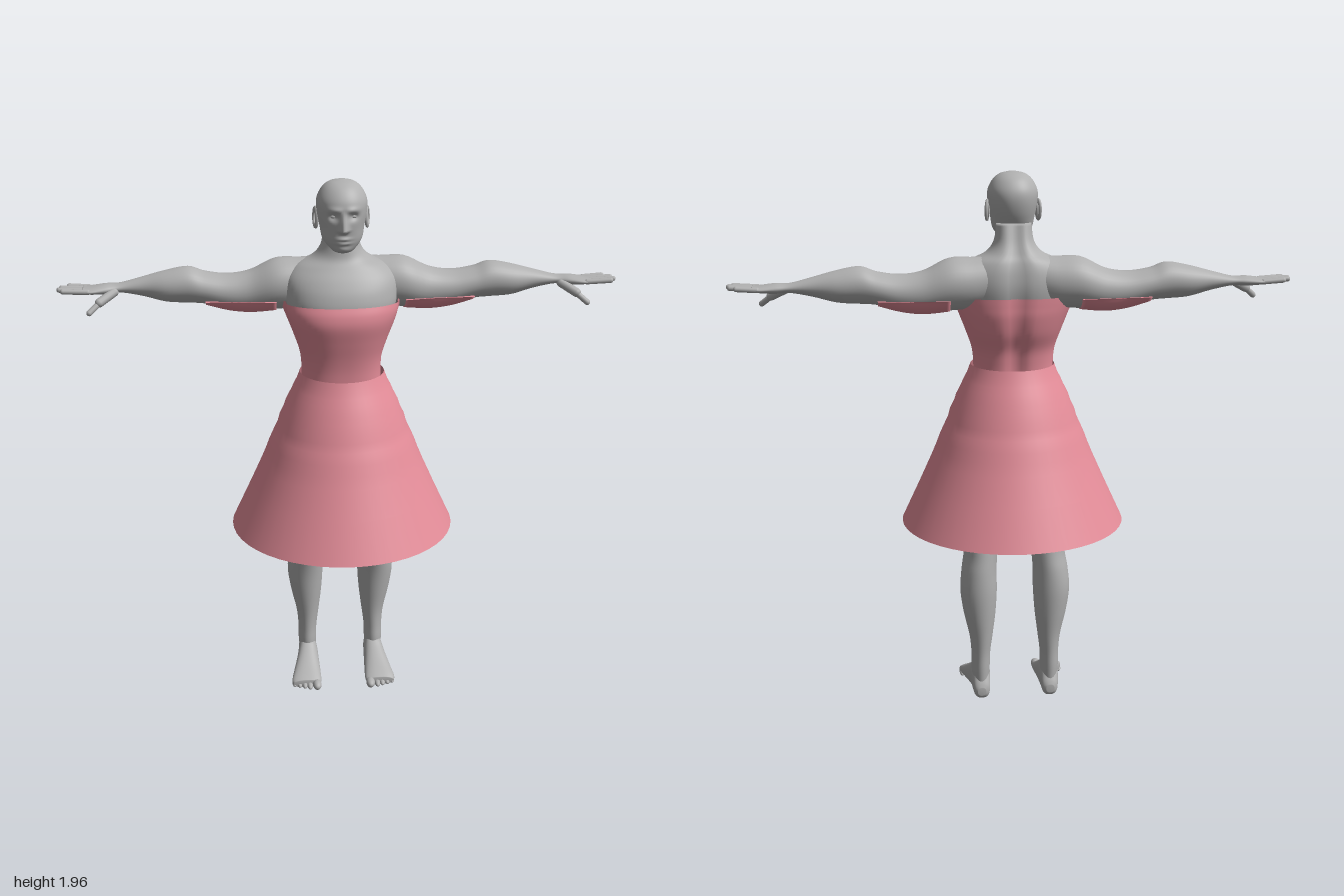
import * as THREE from 'three';

const skin = new THREE.MeshStandardMaterial({ color: 0xb0b0b0 });
skin.name = 'grey skin';
const cloth = new THREE.MeshStandardMaterial({ color: 0xe38c98, side: THREE.DoubleSide });
cloth.name = 'pink cloth';

const bell = (d, w) => Math.exp(-((d / w) ** 2));

// Catmull-Rom blend of neighbouring cross-sections
function section(rings, f) {
  const i = Math.min(Math.floor(f), rings.length - 2), t = f - i;
  const a = rings[Math.max(i - 1, 0)], b = rings[i], c = rings[i + 1], d = rings[Math.min(i + 2, rings.length - 1)];
  return b.map((p, k) => {
    const m0 = (c[k] - a[k]) / 2, m1 = (d[k] - p) / 2, t2 = t * t, t3 = t2 * t;
    return p * (2 * t3 - 3 * t2 + 1) + m0 * (t3 - 2 * t2 + t) + c[k] * (3 * t2 - 2 * t3) + m1 * (t3 - t2);
  });
}

// Skin oval sections [t, u0, u1, v0, v1] along an axis: y uses u=x v=z, x uses u=z v=y, z uses u=y v=x
function loft(axis, rings, { n = 32, steps = 5, power = 2, caps = true, shape } = {}) {
  const pos = [], idx = [], rows = (rings.length - 1) * steps + 1, e = 2 / power;
  const put = (t, u, v) => {
    const p = axis === 'y' ? new THREE.Vector3(u, t, v)
      : axis === 'x' ? new THREE.Vector3(t, v, u) : new THREE.Vector3(v, u, t);
    if (shape) shape(p);
    pos.push(p.x, p.y, p.z);
  };
  const round = c => Math.sign(c) * Math.abs(c) ** e;
  for (let i = 0; i < rows; i++) {
    const [t, u0, u1, v0, v1] = section(rings, i / steps);
    for (let j = 0; j < n; j++) {
      const a = (j / n) * Math.PI * 2;
      put(t, (u0 + u1) / 2 + round(Math.cos(a)) * (u1 - u0) / 2, (v0 + v1) / 2 + round(Math.sin(a)) * (v1 - v0) / 2);
    }
  }
  for (let i = 0; i < rows - 1; i++) for (let j = 0; j < n; j++) {
    const a = i * n + j, b = i * n + (j + 1) % n;
    idx.push(a, a + n, b, b, a + n, b + n);
  }
  if (caps) {
    for (const r of [rings[0], rings[rings.length - 1]]) put(r[0], (r[1] + r[2]) / 2, (r[3] + r[4]) / 2);
    const last = (rows - 1) * n;
    for (let j = 0; j < n; j++) {
      const k = (j + 1) % n;
      idx.push(rows * n, j, k, rows * n + 1, last + k, last + j);
    }
  }
  const g = new THREE.BufferGeometry();
  g.setAttribute('position', new THREE.Float32BufferAttribute(pos, 3));
  g.setIndex(idx);
  g.computeVertexNormals();
  return g;
}

// Rounded rod between two points
function rod(a, b, r) {
  const A = new THREE.Vector3(...a), B = new THREE.Vector3(...b), d = B.clone().sub(A);
  const g = new THREE.CapsuleGeometry(r, d.length(), 6, 12);
  g.applyQuaternion(new THREE.Quaternion().setFromUnitVectors(new THREE.Vector3(0, 1, 0), d.normalize()));
  return g.translate(...A.add(B).multiplyScalar(0.5).toArray());
}

function ball(x, y, z, rx, ry, rz) {
  return new THREE.SphereGeometry(1, 16, 12).scale(rx, ry, rz).translate(x, y, z);
}

function mirrored(g) {
  const m = g.clone().scale(-1, 1, 1), ix = m.index.array;
  for (let i = 0; i < ix.length; i += 3) [ix[i + 1], ix[i + 2]] = [ix[i + 2], ix[i + 1]];
  return m;
}

export function createModel() {
  const model = new THREE.Group();
  const add = (name, g, mat = skin) => {
    const m = new THREE.Mesh(g, mat);
    m.name = name;
    model.add(m);
  };
  const pair = (name, g, mat) => {
    add('left ' + name, g, mat);
    add('right ' + name, mirrored(g), mat);
  };
  const sym = rings => rings.map(([y, w, back, front]) => [y, -w, w, back, front]);

  // Groove down the spine and a fold under each arm
  const spine = p => { if (p.z < -0.08) p.z += 0.018 * bell(p.x, 0.03); };
  const bodiceShape = p => {
    spine(p);
    p.x *= 1 - 0.07 * bell(p.z - 0.01, 0.025);
  };

  // Torso and neck
  add('torso', loft('y', sym([
    [1.0, 0.14, -0.12, 0.09], [1.2, 0.13, -0.11, 0.085], [1.4, 0.15, -0.14, 0.1], [1.5, 0.19, -0.165, 0.115],
    [1.56, 0.2, -0.175, 0.105], [1.61, 0.195, -0.172, 0.08], [1.65, 0.16, -0.162, 0.05],
    [1.68, 0.1, -0.147, 0.03], [1.72, 0.07, -0.13, 0.022], [1.78, 0.062, -0.11, 0.01],
  ]), { n: 48, power: 2.2, shape: spine }));

  // Head with brow, nose, lips, chin and eye sockets
  const face = p => {
    if (p.z < 0.03) return;
    const y = p.y, rise = y > 1.795 ? Math.max(0, (1.862 - y) / 0.067) : Math.max(0, 1 - (1.795 - y) / 0.014);
    p.z += 0.03 * rise * bell(p.x, 0.008 + 0.007 * rise);
    p.z += 0.006 * bell(y - 1.865, 0.01) * bell(Math.abs(p.x) - 0.03, 0.025);
    p.z -= 0.013 * bell(y - 1.842, 0.013) * bell(Math.abs(p.x) - 0.034, 0.017);
    p.z += 0.008 * bell(p.x, 0.025) * (bell(y - 1.765, 0.006) + bell(y - 1.75, 0.006));
    p.z += 0.006 * bell(p.x, 0.025) * bell(y - 1.727, 0.012);
  };
  add('head', loft('y', sym([
    [1.712, 0.02, 0.015, 0.06], [1.722, 0.04, -0.01, 0.074], [1.755, 0.068, -0.065, 0.085], [1.8, 0.078, -0.095, 0.092],
    [1.85, 0.087, -0.11, 0.097], [1.89, 0.087, -0.108, 0.092], [1.925, 0.07, -0.088, 0.07],
    [1.946, 0.045, -0.058, 0.04], [1.955, 0.01, -0.02, 0.0],
  ]), { n: 96, steps: 10, power: 2.15, shape: face }));
  pair('eye', ball(0.034, 1.842, 0.07, 0.013, 0.008, 0.011));
  pair('ear', new THREE.TorusGeometry(0.017, 0.006, 8, 20).scale(1, 1.75, 1)
    .rotateY(Math.PI / 2 - 0.3).rotateX(-0.15).translate(0.09, 1.822, -0.02));
  pair('ear bowl', ball(0.086, 1.822, -0.018, 0.006, 0.028, 0.016));

  // Arms, rings run from inside the chest to the knuckles
  const arm = [
    [0.06, -0.15, -0.02, 1.52, 1.672], [0.14, -0.168, 0.0, 1.49, 1.667], [0.23, -0.177, 0.008, 1.482, 1.665],
    [0.32, -0.167, -0.01, 1.475, 1.624], [0.4, -0.16, -0.015, 1.484, 1.612], [0.48, -0.156, -0.017, 1.506, 1.622],
    [0.54, -0.152, -0.018, 1.511, 1.641], [0.62, -0.145, -0.024, 1.517, 1.628], [0.7, -0.128, -0.045, 1.538, 1.607],
    [0.78, -0.115, -0.055, 1.553, 1.587], [0.83, -0.118, -0.04, 1.55, 1.586], [0.88, -0.121, -0.027, 1.553, 1.579],
    [0.91, -0.117, -0.03, 1.558, 1.577],
  ];
  pair('arm', loft('x', arm));
  [[-0.11, 0.96], [-0.085, 0.984], [-0.06, 0.99], [-0.037, 0.975]].forEach(([z, tip], i) =>
    pair('finger ' + (i + 1), rod([0.89, 1.567, z], [tip, 1.572, z * 1.08 + 0.008], 0.0098)));
  pair('thumb base', rod([0.8, 1.56, -0.06], [0.85, 1.532, -0.022], 0.016));
  pair('thumb', rod([0.845, 1.535, -0.025], [0.885, 1.502, 0.002], 0.0105));

  // Cloth under the upper arms, trimmed level with the bodice
  const sleeve = arm.slice(2, 6).map(([x, a, b, c, d]) => [x, a - 0.003, b + 0.003, c - 0.004, d]);
  pair('sleeve', loft('x', sleeve, { n: 48, shape: p => { p.y = Math.min(p.y, 1.526); } }), cloth);

  // Bodice, open at both ends
  add('bodice', loft('y', sym([
    [1.24, 0.146, -0.125, 0.103], [1.29, 0.146, -0.13, 0.105], [1.34, 0.152, -0.14, 0.112], [1.4, 0.172, -0.166, 0.125],
    [1.46, 0.195, -0.181, 0.137], [1.5, 0.21, -0.184, 0.133], [1.53, 0.217, -0.185, 0.121],
  ]), { n: 64, power: 2.3, caps: false, shape: bodiceShape }), cloth);

  // Flared skirt with soft tiers
  const tiers = [
    [0.41, 0.68], [0.345, 0.82], [0.3, 0.92], [0.281, 0.965], [0.268, 1.0], [0.257, 1.025], [0.25, 1.04], [0.236, 1.07],
    [0.228, 1.1], [0.213, 1.13], [0.205, 1.155], [0.187, 1.19], [0.176, 1.215], [0.165, 1.235], [0.152, 1.27],
  ];
  const skirt = new THREE.LatheGeometry(tiers.map(p => new THREE.Vector2(...p)), 48);
  add('skirt', skirt, cloth);

  // Legs
  pair('leg', loft('y', [
    [0.06, 0.1, 0.16, -0.14, -0.045], [0.12, 0.096, 0.165, -0.145, -0.04], [0.18, 0.094, 0.165, -0.148, -0.042],
    [0.25, 0.085, 0.172, -0.155, -0.04], [0.34, 0.074, 0.192, -0.165, -0.03], [0.43, 0.068, 0.204, -0.171, -0.018],
    [0.51, 0.068, 0.198, -0.168, 0.0], [0.58, 0.062, 0.188, -0.158, 0.02], [0.68, 0.05, 0.194, -0.147, 0.036],
    [0.85, 0.022, 0.2, -0.15, 0.06], [1.04, 0.005, 0.18, -0.14, 0.075],
  ]));
  pair('foot', loft('z', [
    [-0.152, 0.02, 0.05, 0.115, 0.145], [-0.14, 0.006, 0.075, 0.1, 0.158], [-0.11, 0, 0.12, 0.096, 0.164],
    [-0.06, 0, 0.128, 0.092, 0.168], [-0.02, 0, 0.105, 0.09, 0.176], [0.035, 0, 0.072, 0.087, 0.19],
    [0.08, 0, 0.047, 0.086, 0.2], [0.1, 0.005, 0.035, 0.092, 0.194],
  ], { power: 2.4 }));
  for (let i = 0; i < 5; i++) {
    const r = i ? 0.0115 - i * 0.0004 : 0.017;
    pair('toe ' + (i + 1), ball(i ? 0.112 + i * 0.0195 : 0.104, r + 0.003, 0.107 - i * 0.008, r, r, 0.029));
  }
  return model;
}
